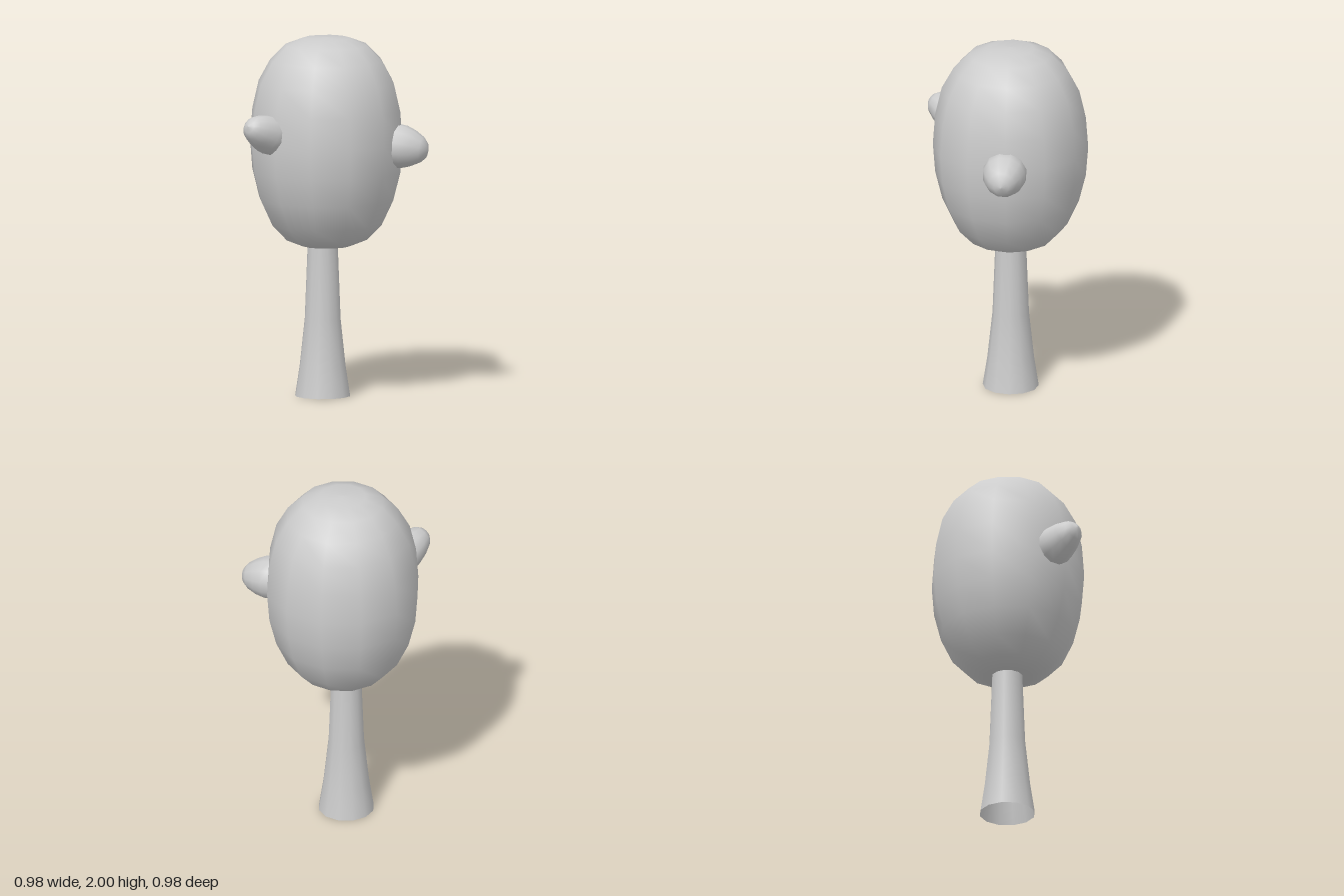
import * as THREE from 'three';

const SIDES = 12;

export function createModel() {
  const model = new THREE.Group();
  model.name = 'tree';
  const grey = new THREE.MeshStandardMaterial({ color: 0xcccccc, side: THREE.DoubleSide });
  grey.name = 'light grey';

  // Smooth turned part from [radius, height] pairs, bottom to top
  function turned(name, profile, position, phase = 0) {
    const points = profile.map(([r, y]) => new THREE.Vector2(r, y));
    const mesh = new THREE.Mesh(
      new THREE.LatheGeometry(points, SIDES, THREE.MathUtils.degToRad(phase)), grey);
    mesh.name = name;
    mesh.position.set(...position);
    model.add(mesh);
    return mesh;
  }

  // Flared trunk, open at the bottom
  turned('trunk', [
    [0.155, 0], [0.129, 0.17], [0.101, 0.43], [0.085, 0.84], [0.08, 0.95],
  ], [-0.084, 0, -0.068], 20);

  // Tall rounded crown
  turned('crown', [
    [0, 0.832], [0.137, 0.838], [0.229, 0.875], [0.312, 0.96], [0.378, 1.1],
    [0.417, 1.255], [0.43, 1.42], [0.417, 1.595], [0.381, 1.75],
    [0.315, 1.87], [0.229, 1.957], [0.13, 1.994], [0, 2],
  ], [-0.065, 0, -0.075], 20);

  // Small tapered foliage tufts, each pointing outwards along its own axis
  function tuft(name, profile, root, direction) {
    const mesh = turned(name, profile, root);
    mesh.quaternion.setFromUnitVectors(
      new THREE.Vector3(0, 1, 0), new THREE.Vector3(...direction).normalize());
  }

  tuft('frontTuft', [
    [0, -0.03], [0.09, 0], [0.108, 0.06], [0.104, 0.11], [0.088, 0.175],
    [0.064, 0.228], [0.035, 0.254], [0, 0.264],
  ], [-0.182, 1.461, 0.24], [-0.2, 0.4, 1]);

  tuft('sideTuft', [
    [0, -0.03], [0.105, 0], [0.123, 0.06], [0.12, 0.105], [0.102, 0.157],
    [0.073, 0.208], [0.042, 0.236], [0, 0.245],
  ], [0.25, 1.413, -0.188], [1, -0.13, -0.3]);

  return model;
}
